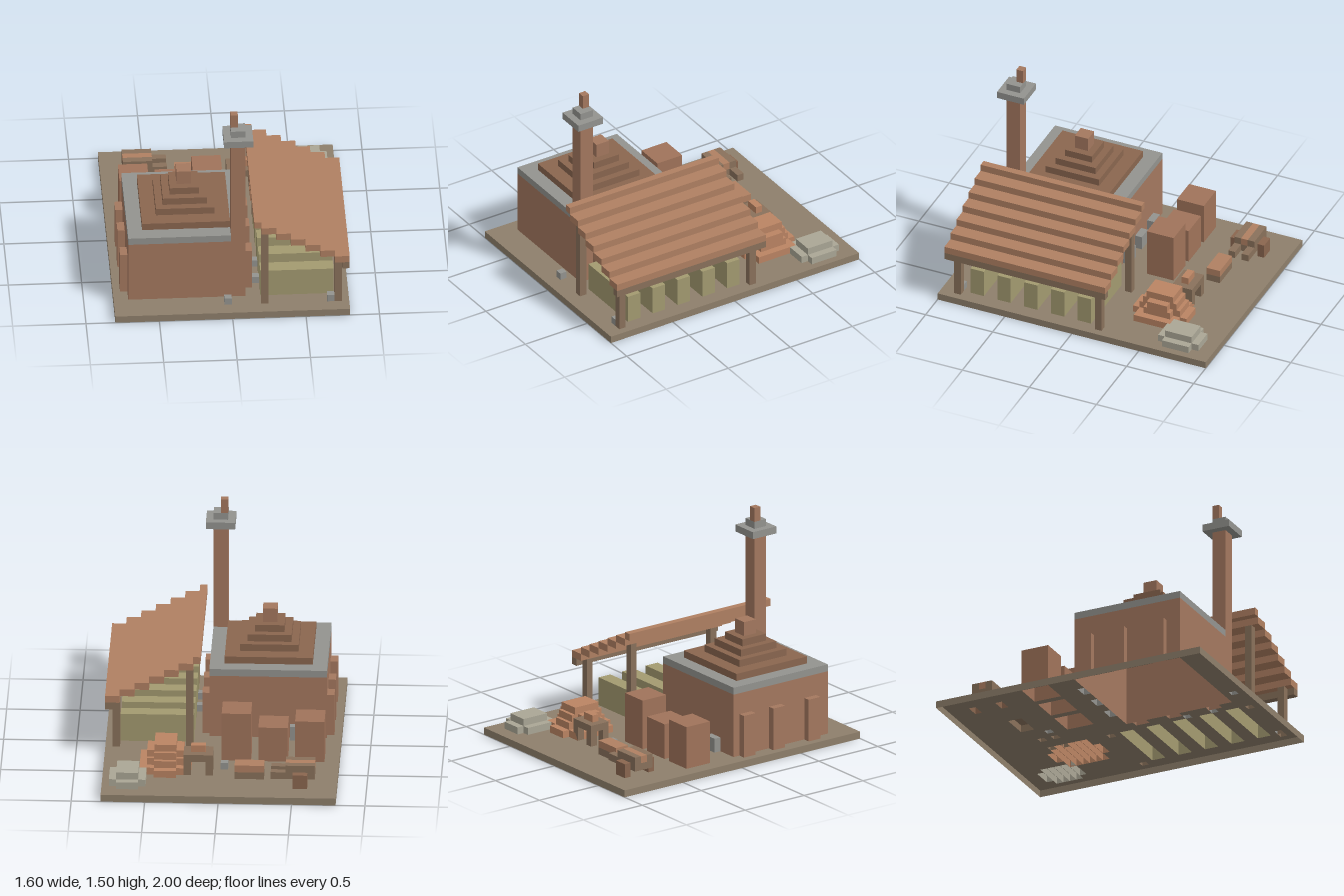
import * as THREE from 'three';

const U = 0.05; // one block of the grid
const paint = (color) => new THREE.MeshStandardMaterial({ color, side: THREE.DoubleSide, flatShading: true });
const mats = {
  ground: paint(0x8e7f6b), brick: paint(0xa4785f), roof: paint(0x8a664f), stone: paint(0x93938f),
  timber: paint(0x89715b), slat: paint(0xb08062), clay: paint(0xba8463), straw: paint(0xa39a70),
  rubble: paint(0xaaa695), pot: paint(0xa0735a),
};

export function createModel() {
  const model = new THREE.Group();
  const footprints = [];

  const part = (name, parent = model) => {
    const g = new THREE.Group();
    g.name = name;
    parent.add(g);
    return g;
  };

  // Block given by its ranges; open below where it stands on the ground
  function block(parent, name, mat, [x0, x1], [y0, y1], [z0, z1], openTop = false) {
    const geo = new THREE.BoxGeometry(x1 - x0, y1 - y0, z1 - z0);
    const grounded = Math.abs(y0 - U) < 1e-6;
    const kept = Array.from(geo.index.array).filter((_, i) => {
      const face = Math.floor(i / 6);
      return !(face === 2 && openTop) && !(face === 3 && (grounded || y0 === 0));
    });
    geo.setIndex(kept);
    geo.clearGroups();
    const mesh = new THREE.Mesh(geo, mats[mat]);
    mesh.position.set((x0 + x1) / 2, (y0 + y1) / 2, (z0 + z1) / 2);
    mesh.name = name;
    parent.add(mesh);
    if (grounded) footprints.push([x0, x1, z0, z1]);
    return mesh;
  }

  // Round heap of stepped layers, one row of blocks per grid line
  function heap(name, mat, cx, cz, radii) {
    const g = part(name);
    radii.forEach((r, layer) => {
      const rows = Math.round(r / U * 2);
      for (let i = 0; i < rows; i++) {
        const z = cz - r + (i + 0.5) * U;
        const reach = Math.sqrt(Math.max(0, r * r - (z - cz) ** 2));
        const half = (Math.floor(reach / U) + 0.5) * U;
        block(g, name + 'Row', mat, [cx - half, cx + half],
          [U * (layer + 1), U * (layer + 2)], [z - U / 2, z + U / 2]);
      }
    });
  }

  // Kiln body with buttresses on both sides
  const kiln = part('kiln');
  block(kiln, 'kilnWalls', 'brick', [-0.7, 0.1], [U, 0.5], [0, 0.8], true);
  for (const x of [-0.75, 0.1])
    for (const z of [0.05, 0.3, 0.6])
      block(kiln, 'buttress', 'brick', [x, x + U], [U, 0.35], [z, z + 0.1]);
  for (const x of [-0.55, -0.35, -0.15])
    block(kiln, 'fireMouth', 'stone', [x, x + 0.1], [U, 0.15], [-U, 0]);

  // Stone ledge, notched round the chimney corner
  const outline = new THREE.Shape([[-0.7, 0], [0.1, 0], [0.1, -0.7], [0, -0.7], [0, -0.8], [-0.7, -0.8]]
    .map(([x, y]) => new THREE.Vector2(x, y)));
  const ledge = new THREE.Mesh(
    new THREE.ExtrudeGeometry(outline, { depth: U, bevelEnabled: false }), mats.stone);
  ledge.rotation.x = -Math.PI / 2;
  ledge.position.y = 0.5;
  ledge.name = 'ledge';
  kiln.add(ledge);

  // Stepped roof: half widths from bottom to top
  const roof = part('steppedRoof', kiln);
  [0.3, 0.2, 0.15, 0.1].forEach((h, i) => {
    const y = 0.55 + i * U;
    block(roof, 'roofStep', 'roof', [-0.3 - h, -0.3 + h], [y, y + U], [0.4 - h, 0.4 + h]);
  });
  block(roof, 'roofFinial', 'brick', [-0.35, -0.25], [0.75, 0.85], [0.35, 0.45]);

  // Chimney
  const chimney = part('chimney');
  block(chimney, 'chimneyShaft', 'brick', [0, 0.1], [0.5, 1.3], [0.7, 0.8]);
  block(chimney, 'chimneyCap', 'stone', [-0.05, 0.15], [1.3, 1.35], [0.65, 0.85]);
  block(chimney, 'chimneyCollar', 'stone', [0, 0.1], [1.35, 1.4], [0.7, 0.8]);
  block(chimney, 'chimneyTip', 'brick', [0, U], [1.4, 1.5], [0.7, 0.75]);

  // Drying shed: stepped slats on four posts with a beam along the eaves
  const shed = part('dryingShed');
  const length = [-0.25, 0.95];
  block(shed, 'roofSlat', 'slat', [0.15, 0.2], [0.7, 0.75], length);
  for (let i = 0; i < 6; i++) {
    const x = 0.2 + i * 0.1, y = 0.65 - i * U;
    block(shed, 'roofSlat', 'slat', [x, x + 0.1], [y, y + U], length);
  }
  block(shed, 'eavesBeam', 'timber', [0.75, 0.8], [0.35, 0.4], length);
  for (const z of [-0.2, 0.85]) {
    block(shed, 'innerPost', 'timber', [0.2, 0.25], [U, 0.65], [z, z + U]);
    block(shed, 'outerPost', 'timber', [0.7, 0.75], [U, 0.4], [z, z + U]);
  }

  // Rows of drying bricks under the shed
  const rows = part('dryingRows');
  for (let i = 0; i < 5; i++) {
    const z = -0.1 + i * 0.2;
    block(rows, 'dryingRow', 'straw', [0.2, 0.7], [U, 0.25], [z, z + 0.1]);
  }

  // Finished brick stacks behind the kiln
  const stacks = part('brickStacks');
  [[-0.7, 0.35], [-0.45, 0.3], [-0.2, 0.4]].forEach(([x, top]) =>
    block(stacks, 'brickStack', 'pot', [x, x + 0.2], [U, top], [-0.4, -0.2]));
  block(stacks, 'pallet', 'timber', [-0.3, -0.1], [U, 0.1], [-0.7, -0.6]);
  block(stacks, 'palletLoad', 'slat', [-0.3, -0.1], [0.1, 0.15], [-0.7, -0.6]);

  // Hand cart: tray, rails, wheels and handles mirrored about its long axis
  const cart = part('handCart');
  const mid = -0.725;
  block(cart, 'cartTray', 'timber', [-0.65, -0.45], [0.1, 0.15], [mid - 0.075, mid + 0.075]);
  block(cart, 'cartLoad', 'slat', [-0.65, -0.45], [0.15, 0.2], [mid - 0.025, mid + 0.025]);
  for (const s of [-1, 1]) {
    const span = (a, b) => [mid + s * a, mid + s * b].sort((p, q) => p - q);
    block(cart, 'cartRail', 'timber', [-0.65, -0.45], [0.15, 0.2], span(0.025, 0.075));
    block(cart, 'cartWheel', 'roof', [-0.6, -0.5], [U, 0.15], span(0.075, 0.125));
    block(cart, 'cartHandle', 'timber', [-0.45, -0.35], [0.1, 0.15], span(0.025, 0.075));
  }

  // Moulding table
  const table = part('mouldingTable');
  block(table, 'tableTop', 'timber', [0.05, 0.25], [0.15, 0.2], [-0.65, -0.5]);
  block(table, 'mouldedBrick', 'clay', [0.1, 0.2], [0.2, 0.25], [-0.6, -0.55]);
  for (const x of [0.05, 0.2])
    for (const z of [-0.65, -0.55])
      block(table, 'tableLeg', 'timber', [x, x + U], [U, 0.15], [z, z + U]);

  // Heaps of clay and rubble
  heap('clayHeap', 'clay', 0.375, -0.5, [0.2, 0.15, 0.125, 0.1]);
  heap('rubbleHeap', 'rubble', 0.625, -0.75, [0.15, 0.1]);

  // Loose stones
  const stones = part('looseStones');
  [[-0.05, 0.85], [-0.05, -0.55], [0.65, 0.85], [0.15, 0.6], [0.15, 0.4]].forEach(([x, z]) =>
    block(stones, 'looseStone', 'stone', [x, x + U], [U, 0.1], [z, z + U]));

  // Ground: a rim and a surface left open under everything that stands on it
  const ground = part('ground');
  block(ground, 'groundRim', 'ground', [-0.8, 0.8], [0, U], [-1, 1], true);
  const pos = [];
  for (let i = 0; i < 32; i++)
    for (let j = 0; j < 40; j++) {
      const x = -0.8 + i * U, z = -1 + j * U, cx = x + U / 2, cz = z + U / 2;
      if (footprints.some(([a, b, c, d]) => cx > a && cx < b && cz > c && cz < d)) continue;
      const X = x + U, Z = z + U;
      pos.push(x, U, z, x, U, Z, X, U, Z, x, U, z, X, U, Z, X, U, z);
    }
  const top = new THREE.BufferGeometry();
  top.setAttribute('position', new THREE.Float32BufferAttribute(pos, 3));
  top.computeVertexNormals();
  const surface = new THREE.Mesh(top, mats.ground);
  surface.name = 'groundSurface';
  ground.add(surface);

  return model;
}
